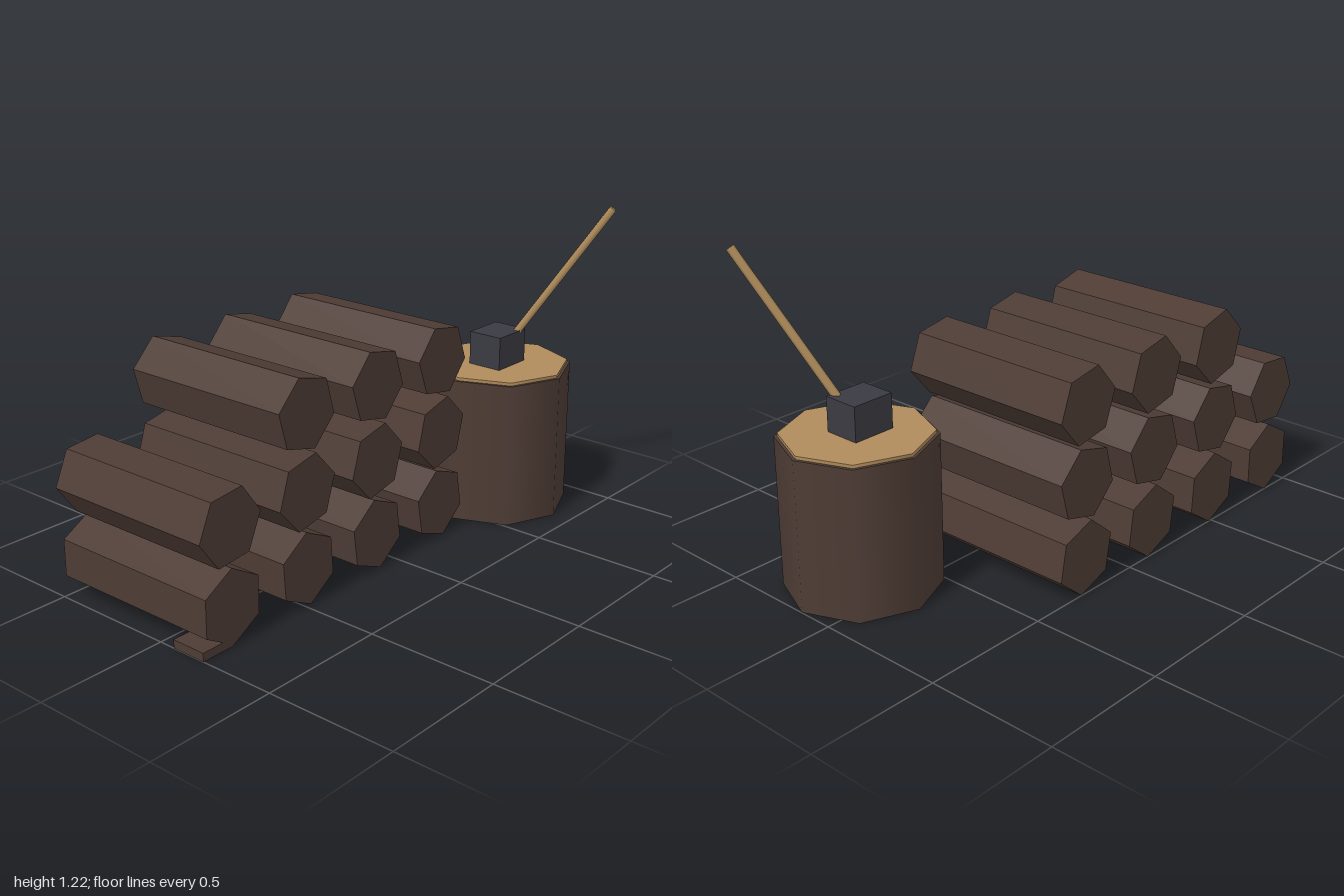
import * as THREE from 'three';

export function createModel() {
  const model = new THREE.Group();
  const material = (name, color, flatShading = false) => {
    const m = new THREE.MeshStandardMaterial({ color, flatShading });
    m.name = name;
    return m;
  };
  const bark = material('bark', 0x4e3c35);
  const cutWood = material('cutWood', 0xb08c5c);
  const iron = material('iron', 0x3a3a42);

  const add = (parent, name, geometry, mat, x, y, z) => {
    const mesh = new THREE.Mesh(geometry, mat);
    mesh.name = name;
    mesh.position.set(x, y, z);
    parent.add(mesh);
    return mesh;
  };

  // Stacked six-sided logs: each row lists [column, turn in degrees]
  const logPile = new THREE.Group();
  logPile.name = 'logPile';
  model.add(logPile);
  const logGeometry = new THREE.CylinderGeometry(0.141, 0.141, 0.71, 6).rotateX(Math.PI / 2).toNonIndexed();
  logGeometry.computeVertexNormals(); // faceted sides
  const rows = [
    [[0, 0], [1, 4], [2, 7.5], [3, 10]],
    [[0, -24], [1, -18], [2, -17], [3, -15]],
    [[1, 15.5], [2, 18], [3, 20]],
  ];
  rows.forEach((row, level) => {
    for (const [column, turn] of row) {
      const log = add(logPile, 'log', logGeometry, bark, -0.86 + column * 0.371, 0.145 + level * 0.286, -0.15);
      log.rotation.z = THREE.MathUtils.degToRad(turn);
    }
  });

  // Flat bark chip under the corner log
  add(model, 'barkChip', new THREE.BoxGeometry(0.14, 0.032, 0.14), bark, -0.93, 0.016, 0.134);

  // Chopping block with a pale cut top
  const block = new THREE.Group();
  block.name = 'choppingBlock';
  block.position.set(0.713, 0, 0.138);
  model.add(block);
  add(block, 'stump', new THREE.CylinderGeometry(0.284, 0.285, 0.573, 8), bark, 0, 0.2865, 0);
  add(block, 'cutTop', new THREE.CylinderGeometry(0.272, 0.272, 0.014, 8), cutWood, 0, 0.578, 0);

  // Axe: block head with a leaning handle
  const axe = new THREE.Group();
  axe.name = 'axe';
  model.add(axe);
  add(axe, 'axeHead', new THREE.BoxGeometry(0.17, 0.142, 0.142), iron, 0.697, 0.645, 0.138);
  const foot = new THREE.Vector3(0.732, 0.66, 0.163);
  const tip = new THREE.Vector3(0.922, 1.214, 0.491);
  const along = tip.clone().sub(foot);
  const middle = foot.clone().add(tip).multiplyScalar(0.5);
  const handle = add(axe, 'axeHandle', new THREE.CylinderGeometry(0.016, 0.016, along.length(), 6), cutWood, middle.x, middle.y, middle.z);
  handle.quaternion.setFromUnitVectors(new THREE.Vector3(0, 1, 0), along.normalize());

  return model;
}
